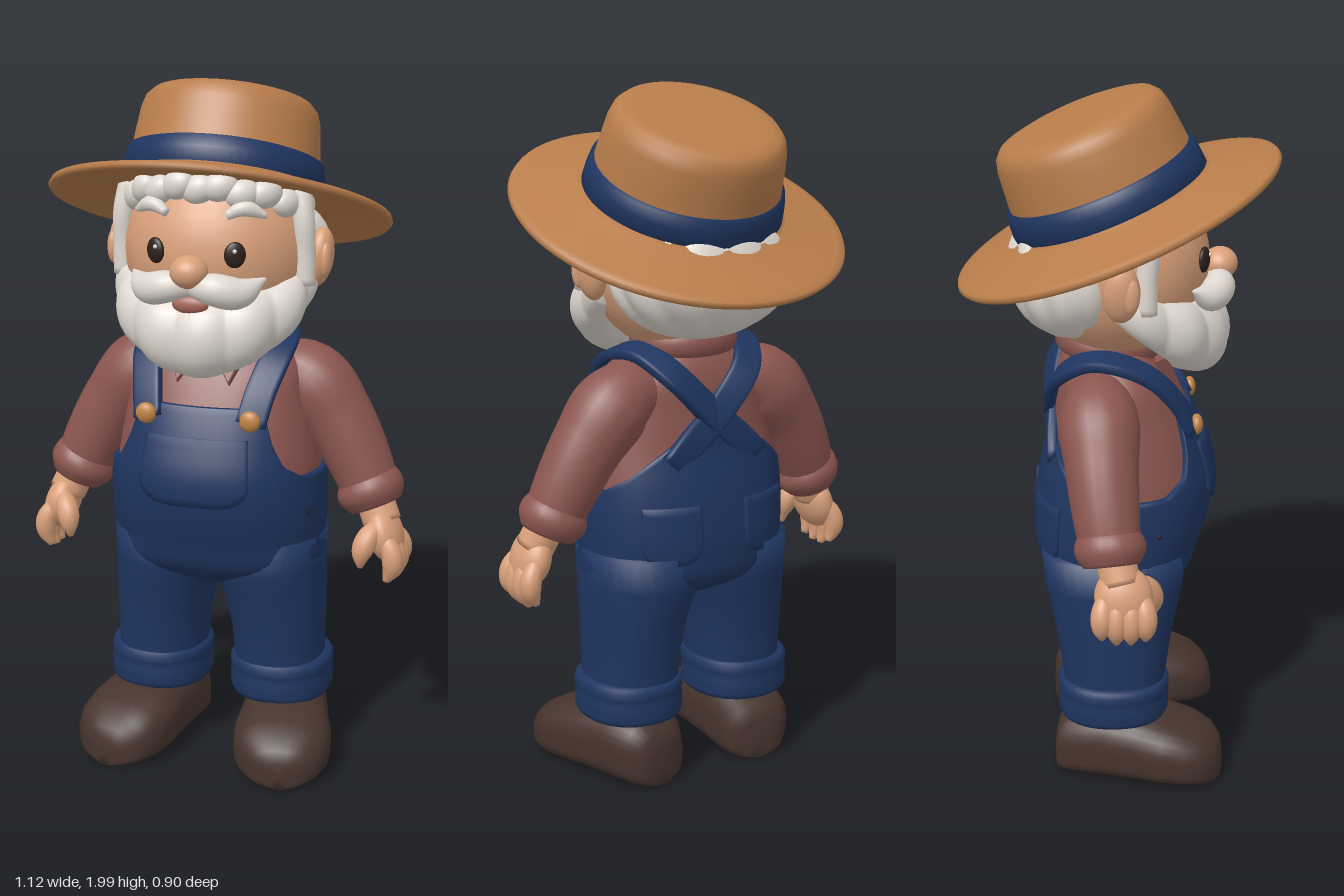
import * as THREE from 'three';

const paint = (name, color) => Object.assign(new THREE.MeshStandardMaterial({ color }), { name });
const V = (x, y, z) => new THREE.Vector3(x, y, z);
const TAU = Math.PI * 2;
const range = (n, f) => Array.from({ length: n }, (_, i) => f(i));
const pow = (v, e) => Math.sign(v) * Math.abs(v) ** e;

// Closed solid through rings of equal point count, wound outwards.
function loft(rings) {
  const n = rings[0].length, m = rings.length, pts = rings.flat(), idx = [];
  for (let i = 0; i < m - 1; i++) for (let j = 0; j < n; j++) {
    const a = i * n + j, b = i * n + (j + 1) % n;
    idx.push(a, b, a + n, b, b + n, a + n);
  }
  for (const [ring, base, flip] of [[rings[0], 0, true], [rings[m - 1], (m - 1) * n, false]]) {
    const c = pts.length;
    pts.push(ring.reduce((s, p) => s.add(p), V(0, 0, 0)).divideScalar(n));
    for (let j = 0; j < n; j++) {
      const a = base + j, b = base + (j + 1) % n;
      idx.push(...(flip ? [b, a, c] : [a, b, c]));
    }
  }
  let volume = 0;
  for (let i = 0; i < idx.length; i += 3)
    volume += pts[idx[i]].dot(V(0, 0, 0).crossVectors(pts[idx[i + 1]], pts[idx[i + 2]]));
  if (volume < 0) idx.reverse();
  const g = new THREE.BufferGeometry().setFromPoints(pts);
  g.setIndex(idx);
  g.computeVertexNormals();
  return g;
}

// Round limb along a smooth path with changing radius.
function limb(points, radii, seg = 24, sides = 20) {
  const curve = new THREE.CatmullRomCurve3(points.map(p => V(...p)));
  const { normals, binormals } = curve.computeFrenetFrames(seg);
  const rad = new THREE.CubicInterpolant(radii.map((_, i) => i / (radii.length - 1)), radii, 1);
  return loft(range(seg + 1, i => {
    const r = Math.max(0.002, rad.evaluate(i / seg)[0]), c = curve.getPointAt(i / seg);
    return range(sides, j => c.clone().addScaledVector(normals[i], r * Math.cos(j / sides * TAU))
      .addScaledVector(binormals[i], r * Math.sin(j / sides * TAU)));
  }));
}

// Stack of horizontal ovals: [y, centre x, centre z, half width, half depth].
const stack = rows => loft(rows.map(([y, cx, cz, rx, rz]) => range(36, j => {
  const a = j / 36 * TAU;
  return V(cx + rx * pow(Math.sin(a), 0.9), y, cz + rz * pow(Math.cos(a), 0.9));
})));

// Oval lump with vertical locks.
const locks = (rx, ry, rz, k, amp) => loft(range(25, i => {
  const p = (0.01 + 0.98 * i / 24) * Math.PI;
  return range(120, j => {
    const a = j / 120 * TAU, s = Math.sin(p) * (1 + amp * (Math.abs(Math.sin(k * a + 2 * Math.cos(p))) - 0.5));
    return V(rx * s * Math.sin(a), ry * Math.cos(p), rz * s * Math.cos(a));
  });
}));

// Torso: half width, front depth, back depth by height.
const bodyY = [0.55, 0.6, 0.7, 0.8, 0.9, 1.0, 1.1, 1.2, 1.25, 1.3];
const bodyAt = new THREE.CubicInterpolant(bodyY, [
  0.2, 0.1, 0.1, 0.28, 0.18, 0.19, 0.295, 0.225, 0.222, 0.3, 0.255, 0.222, 0.295, 0.262, 0.21,
  0.28, 0.235, 0.19, 0.26, 0.195, 0.18, 0.235, 0.14, 0.172, 0.185, 0.1, 0.155, 0.11, 0.08, 0.12], 3);
function body(a, y, off) {
  const [w, f, b] = bodyAt.evaluate(y);
  const c = Math.cos(a);
  return V((w + off) * pow(Math.sin(a), 0.9), y, ((c > 0 ? f : b) + off) * pow(c, 0.9));
}
// Top edge of the overalls by angle from the front: bib, armhole, back panel.
const edge = [[0, 1.1], [38, 1.1], [43, 1.0], [50, 0.94], [65, 0.9], [105, 0.89], [125, 0.93], [180, 1.1]];
function topEdge(a) {
  const d = Math.abs(THREE.MathUtils.radToDeg(a));
  const i = Math.max(1, edge.findIndex(e => d <= e[0] + 1e-6));
  const [d0, y0] = edge[i - 1], [d1, y1] = edge[i];
  return y0 + (y1 - y0) * (d - d0) / (d1 - d0);
}
// Pocket lying on the torso, rounded at its lower corners.
const pocket = (mid, half, y0, y1) => loft(range(25, i => {
  const u = i / 12 - 1, a = mid + half * u, low = y0 + 0.05 * Math.abs(u) ** 5;
  const col = range(9, k => low + (y1 - low) * k / 8);
  return [...col.map(y => body(a, y, 0.024)), ...col.reverse().map(y => body(a, y, 0.005))];
}));

// Flat strap along a path, facing away from the chest.
function strap(points, w, t) {
  const curve = new THREE.CatmullRomCurve3(points.map(p => V(...p)));
  return loft(range(41, i => {
    const c = curve.getPointAt(i / 40), d = curve.getTangentAt(i / 40);
    const out = c.clone().sub(V(c.x * 0.7, 1.03, -0.03));
    out.addScaledVector(d, -out.dot(d)).normalize();
    const side = V(0, 0, 0).crossVectors(d, out);
    return range(16, j => c.clone().addScaledVector(side, w * pow(Math.cos(j / 16 * TAU), 0.4))
      .addScaledVector(out, t * pow(Math.sin(j / 16 * TAU), 0.4)));
  }));
}

export function createModel() {
  const skin = paint('skin', 0xd9a07a), white = paint('white hair', 0xe0d9d1), straw = paint('straw', 0xb87d4b);
  const denim = paint('navy denim', 0x1f3560), shirt = paint('faded red shirt', 0x8c5650);
  const leather = paint('brown leather', 0x46342d), dark = paint('dark eye', 0x2e201b);
  const lip = paint('lip', 0xa8655a), brass = paint('brass', 0xc08545);
  const model = new THREE.Group();
  const add = (name, geo, mat, parent = model) => {
    const m = new THREE.Mesh(geo, mat);
    m.name = name;
    parent.add(m);
    return m;
  };
  const blob = (name, mat, p, s, rz = 0) => {
    const m = add(name, new THREE.SphereGeometry(1, 28, 20), mat);
    m.position.set(...p); m.scale.set(...s); m.rotation.z = rz;
    return m;
  };

  // Torso and overalls
  const angles = range(160, j => (j / 160 * 2 - 1) * Math.PI);
  add('shirtBody', loft(range(24, i => angles.map(a => body(a, 0.8 + 0.5 * i / 23, 0)))), shirt);
  add('overalls', loft(range(32, i => angles.map(a =>
    body(a, 0.55 + (topEdge(a) - 0.55) * Math.min(1, i / 29), [0.016, 0.01, -0.012][Math.max(0, i - 29)])))), denim);
  add('bibPocket', pocket(0, 0.48, 0.83, 1.02), denim);
  const collar = add('collar', new THREE.TorusGeometry(0.125, 0.03, 12, 36), shirt);
  collar.position.set(0, 1.285, -0.025); collar.rotation.x = Math.PI / 2 + 0.1; collar.scale.z = 1.4;
  add('neck', stack([[1.2, 0, -0.02, 0.12, 0.11], [1.45, 0, -0.02, 0.13, 0.12]]), skin);

  for (const s of [1, -1]) {
    // Collar points, straps and buttons
    const flap = new THREE.Shape([[0.015, 0.05], [0.11, 0.05], [0.075, -0.045]].map(p => new THREE.Vector2(s * p[0], p[1])));
    const f = add('collarFlap', new THREE.ExtrudeGeometry(flap, { depth: 0.02, bevelSize: 0.006, bevelThickness: 0.006, bevelSegments: 2 }), shirt);
    f.position.set(0, 1.2, 0.13); f.rotation.x = -0.45;
    add('strap', strap([[s * 0.15, 1.06, 0.205], [s * 0.165, 1.14, 0.165], [s * 0.187, 1.225, 0.09], [s * 0.19, 1.268, 0],
      [s * 0.17, 1.272, -0.08], [s * 0.12, 1.215, -0.165], [s * 0.02, 1.11, -0.188], [-s * 0.09, 1.01, -0.19], [-s * 0.14, 0.96, -0.185]], 0.043, 0.016), denim);
    blob('strapButton', brass, [s * 0.152, 1.075, 0.218], [0.03, 0.03, 0.018]);
    blob('hipButton', dark, [s * 0.285, 0.79, 0.105], [0.014, 0.014, 0.014]);
    add('backPocket', pocket(Math.PI - s * 0.5, 0.3, 0.68, 0.85), denim);

    // Sleeve and hand
    add('sleeve', limb([[s * 0.14, 1.17, -0.06], [s * 0.24, 1.14, -0.06], [s * 0.33, 1.04, -0.055], [s * 0.4, 0.92, -0.045], [s * 0.455, 0.8, -0.03]],
      [0.075, 0.112, 0.102, 0.093, 0.08]), shirt);
    add('sleeveCuff', limb([[s * 0.417, 0.875, -0.037], [s * 0.433, 0.845, -0.035], [s * 0.447, 0.815, -0.033], [s * 0.46, 0.785, -0.03]],
      [0.075, 0.096, 0.097, 0.078], 12), shirt);
    add('wrist', limb([[s * 0.45, 0.82, -0.025], [s * 0.485, 0.74, -0.005]], [0.055, 0.055], 6), skin);
    blob('palm', skin, [s * 0.496, 0.71, 0], [0.05, 0.085, 0.08], s * 0.3);
    for (let i = 0; i < 4; i++) {
      const z = -0.06 + i * 0.04, drop = [0.015, 0, 0, 0.01][i];
      add('finger', limb([[s * 0.5, 0.72, z * 0.8], [s * 0.528, 0.67, z], [s * 0.53, 0.62 + drop, z], [s * 0.512, 0.577 + drop, z]],
        [0.02, 0.029, 0.029, 0.01], 14, 14), skin);
    }
    add('thumb', limb([[s * 0.485, 0.75, 0.04], [s * 0.457, 0.71, 0.07], [s * 0.445, 0.67, 0.085], [s * 0.442, 0.63, 0.085]],
      [0.02, 0.032, 0.03, 0.008], 14, 14), skin);

    // Trouser leg, rolled cuff and boot
    add('leg', stack([[0.2, 0.05, 0.145], [0.3, 0.05, 0.148], [0.4, 0.042, 0.16], [0.5, 0.022, 0.178], [0.55, 0.006, 0.19], [0.6, -0.01, 0.2], [0.7, -0.01, 0.21]]
      .map(([y, inner, rz]) => [y, s * (0.312 + inner) / 2, -0.015, (0.312 - inner) / 2, rz])), denim);
    add('rolledCuff', stack([[0.19, 0.125], [0.195, 0.142], [0.21, 0.149], [0.255, 0.149], [0.265, 0.144], [0.275, 0.15], [0.295, 0.15], [0.308, 0.143], [0.312, 0.125]]
      .map(([y, r]) => [y, s * 0.187, -0.018, r, r + 0.012])), denim);
    const boot = add('boot', loft([[-0.185, 0.045, 0.12], [-0.175, 0.085, 0.16], [-0.14, 0.112, 0.2], [-0.04, 0.122, 0.218], [0.06, 0.132, 0.208],
      [0.14, 0.143, 0.192], [0.21, 0.138, 0.17], [0.26, 0.115, 0.145], [0.29, 0.08, 0.115], [0.302, 0.035, 0.08]].map(([z, w, h]) => range(32, j => {
      const c = Math.cos(j / 32 * TAU), v = Math.sin(j / 32 * TAU);
      return V(w * pow(c, 0.75), h / 2 + h / 2 * pow(v, v < 0 ? 0.5 : 0.9), z);
    }))), leather);
    boot.position.set(s * 0.205, 0.005, 0); boot.rotation.y = s * 0.2;

    // Ear, eye, brow, moustache and sideburn
    blob('ear', skin, [s * 0.288, 1.505, 0], [0.04, 0.085, 0.052], -s * 0.15);
    blob('innerEar', skin, [s * 0.312, 1.505, 0.025], [0.018, 0.05, 0.025]);
    const eye = blob('eye', dark, [s * 0.113, 1.545, 0.234], [0.03, 0.036, 0.014]);
    eye.rotation.y = s * 0.45;
    blob('eyeGlint', white, [s * 0.113 + 0.004, 1.558, 0.25], [0.006, 0.006, 0.004]);
    add('eyebrow', limb([[s * 0.085, 1.648, 0.222], [s * 0.13, 1.668, 0.206], [s * 0.185, 1.645, 0.178]], [0.012, 0.022, 0.008], 14, 14), white);
    add('moustache', limb([[0, 1.462, 0.268], [s * 0.065, 1.457, 0.282], [s * 0.13, 1.445, 0.253], [s * 0.19, 1.478, 0.2]],
      [0.03, 0.045, 0.04, 0.004]), white);
    add('sideburn', limb([[s * 0.25, 1.7, 0.06], [s * 0.262, 1.62, 0.075], [s * 0.265, 1.53, 0.07], [s * 0.265, 1.44, 0.07]],
      [0.03, 0.03, 0.03, 0.03], 14, 14), white);
  }

  // Head and face
  blob('head', skin, [0, 1.52, 0], [0.272, 0.27, 0.258]);
  blob('nose', skin, [0, 1.502, 0.288], [0.053, 0.046, 0.05]);
  blob('mouth', lip, [0, 1.41, 0.278], [0.052, 0.026, 0.02]);
  add('beard', loft(range(121, i => {
    const u = i / 60 - 1, t = Math.abs(u), a = u * 1.62;
    const low = 1.19 + 0.22 * t ** 1.7, high = 1.425 + 0.09 * t * t;
    const outer = 0.315 - 0.035 * t * t + 0.016 * (Math.abs(Math.sin(a * 6.5 + 0.9)) - 0.5), inner = 0.08 + 0.13 * t;
    return range(28, j => {
      const q = j / 28 * TAU, v = Math.sin(q);
      const r = (outer + inner) / 2 + (outer - inner) / 2 * pow(Math.cos(q), 0.85);
      return V(r * Math.sin(a), (low + high) / 2 + (high - low) / 2 * v, r * Math.cos(a));
    });
  })), white);

  // Hair
  add('backHair', locks(0.28, 0.195, 0.185, 6, 0.07), white).position.set(0, 1.5, -0.125);
  for (let i = 0; i < 11; i++) {
    const t = i / 5 - 1, a = t * 1.45, r = 0.2 + 0.045 * Math.abs(t);
    const lock = blob('fringeLock', white, [r * Math.sin(a), 1.725 - 0.07 * t * t - 0.012 * (i % 2), r * Math.cos(a)], [0.05, 0.04, 0.035], -t * 0.5 + 0.35);
    lock.rotation.y = a;
  }

  // Hat, tipped back
  const hat = new THREE.Group();
  hat.name = 'hat';
  hat.position.set(0, 1.635, 0);
  hat.rotation.x = -0.39;
  model.add(hat);
  const turn = pts => new THREE.LatheGeometry(pts.map(p => new THREE.Vector2(...p)), 72);
  add('hatStraw', turn([[0, 0.03], [0.27, 0.03], [0.38, 0.008], [0.46, -0.012], [0.478, -0.012], [0.485, -0.002], [0.48, 0.009], [0.46, 0.014],
    [0.38, 0.034], [0.3, 0.052], [0.274, 0.066], [0.266, 0.14], [0.26, 0.2], [0.254, 0.25], [0.245, 0.28], [0.227, 0.299], [0.195, 0.307], [0.1, 0.306], [0, 0.304]]), straw, hat);
  add('hatBand', turn([[0.266, 0.05], [0.288, 0.055], [0.284, 0.1], [0.277, 0.134], [0.262, 0.139]]), denim, hat);
  return model;
}
